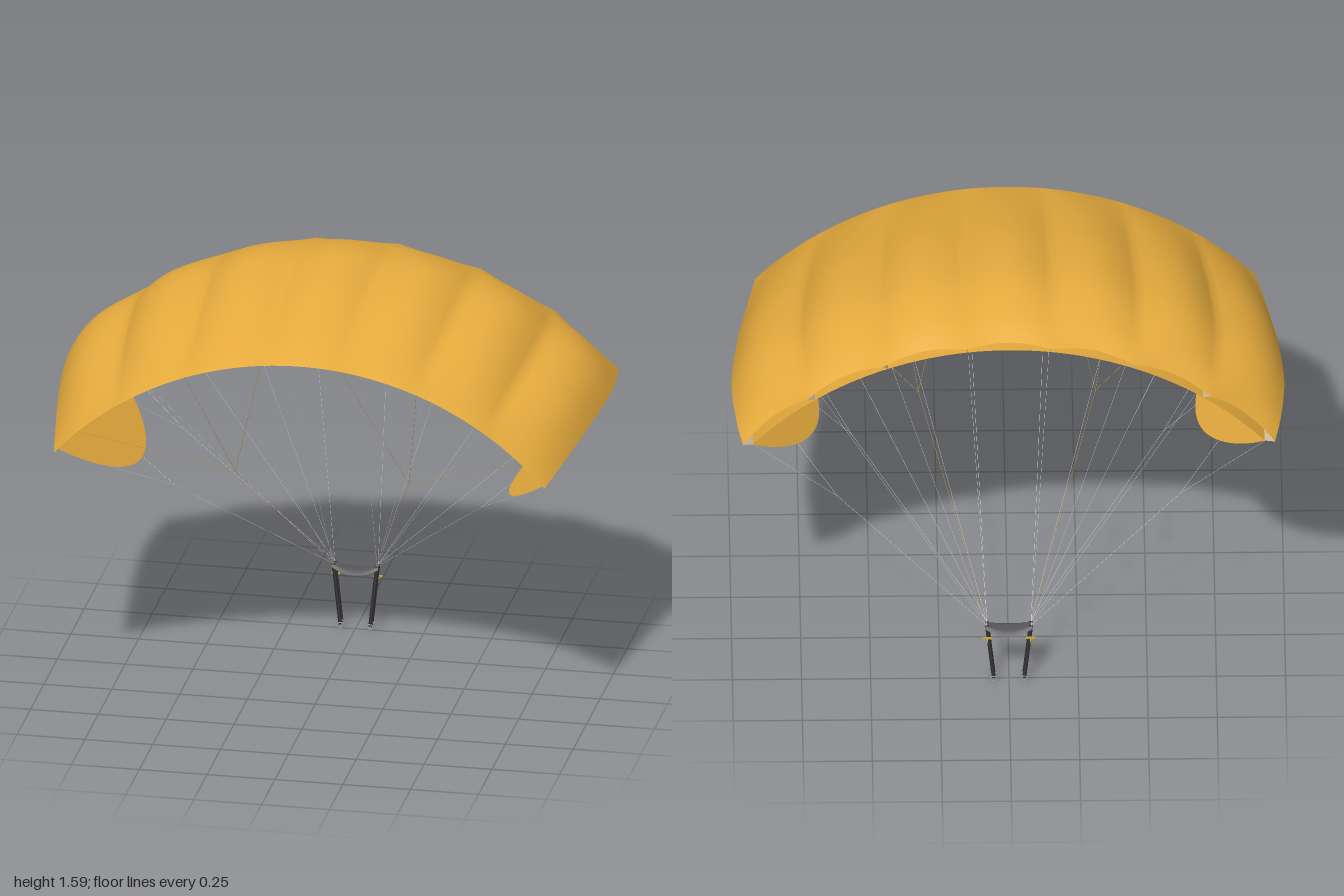
import * as THREE from 'three';
import { ParametricGeometry } from 'three/addons/geometries/ParametricGeometry.js';

const mat = (name, color, side = THREE.FrontSide) => {
  const m = new THREE.MeshStandardMaterial({ color, side });
  m.name = name;
  return m;
};

// The canopy is an arc of seven cells around a centre low on the x = 0 plane
const CENTRE_Y = 0.22;
const CELLS = 7;
const TIP = THREE.MathUtils.degToRad(48.3);
const STEP = (2 * TIP) / CELLS;

// Rib outlines as (z, radius), from trailing edge to nose
const upperRib = new THREE.SplineCurve([
  [0.55, 1.211], [0.3, 1.265], [0.05, 1.312], [-0.2, 1.338], [-0.4, 1.32], [-0.53, 1.288],
].map(([z, r]) => new THREE.Vector2(z, r)));
const lowerRib = new THREE.LineCurve(new THREE.Vector2(0.55, 1.211), new THREE.Vector2(-0.48, 1.239));

const polar = (angle, r, z, target = new THREE.Vector3()) =>
  target.set(r * Math.sin(angle), CENTRE_Y + r * Math.cos(angle), z);
const underRadius = (z) => lowerRib.getPoint((0.55 - z) / 1.03).y;
const under = (angle, z) => polar(angle, underRadius(z), z);

// Depth of the stabilizer panel below the tip rib
const stabilizerDrop = (z) => {
  const u = THREE.MathUtils.clamp((0.5 - z) / 0.98, 0, 1);
  return 0.315 * Math.pow(4 * u * (1 - u), 0.9);
};
const stabilizerEdge = (s, z) => polar(s * TIP, underRadius(z) - stabilizerDrop(z), z);

// Fabric bulge between two ribs, 0 at a rib and 1 in mid cell
const bulge = (u) => Math.abs(Math.sin(Math.PI * u * CELLS));

export function createModel() {
  const model = new THREE.Group();
  const gold = mat('golden fabric', 0xe6ab3d, THREE.DoubleSide);
  const pale = mat('pale rib fabric', 0xdcc69c, THREE.DoubleSide);
  const grey = mat('slider grey', 0x58585a, THREE.DoubleSide);
  const cord = mat('pale line', 0xdcdee6);
  const black = mat('strap black', 0x38383a);
  const steel = mat('steel', 0x9a9a9a);
  const yellow = mat('control yellow', 0xc8a83c);

  const add = (name, geometry, material, parent = model) => {
    const mesh = new THREE.Mesh(geometry, material);
    mesh.name = name;
    parent.add(mesh);
    return mesh;
  };
  const sheet = (name, fn, nu, nv, material) => {
    const g = new ParametricGeometry(fn, nu, nv);
    g.computeVertexNormals();
    return add(name, g, material);
  };
  const rod = (name, a, b, radius, material, parent, sides = 5) => {
    const d = b.clone().sub(a);
    const m = add(name, new THREE.CylinderGeometry(radius, radius, d.length(), sides), material, parent);
    m.position.copy(a).addScaledVector(d, 0.5);
    m.quaternion.setFromUnitVectors(new THREE.Vector3(0, 1, 0), d.normalize());
    return m;
  };

  // Upper skin: bulges between ribs along the chord, scalloped at the nose
  sheet('upperSkin', (u, v, t) => {
    const p = upperRib.getPoint(v), b = bulge(u);
    const chord = THREE.MathUtils.clamp((0.55 - p.x) / 1.08, 0, 1);
    const rise = 0.04 * Math.pow(Math.sin(Math.PI * chord), 0.8);
    polar((2 * u - 1) * TIP, p.y + rise * b,
      p.x + 0.03 * b * THREE.MathUtils.smoothstep(v, 0.6, 1), t);
  }, CELLS * 12, 40, gold);

  // Lower skin: nearly flat along the chord
  sheet('lowerSkin', (u, v, t) => {
    const p = lowerRib.getPoint(v);
    polar((2 * u - 1) * TIP, p.y - 0.008 * bulge(u) * Math.sin(Math.PI * v), p.x, t);
  }, CELLS * 8, 20, gold);

  // Ribs between the cells and at both tips
  for (let i = 0; i <= CELLS; i++) {
    const angle = -TIP + i * STEP;
    sheet(i % CELLS ? 'innerRib' : 'tipRib', (u, v, t) => {
      const p = lowerRib.getPoint(u).lerp(upperRib.getPoint(u), v);
      polar(angle, p.y, p.x, t);
    }, 30, 1, pale);
  }

  const lines = new THREE.Group();
  lines.name = 'suspensionLines';
  model.add(lines);
  const line = (a, b, material = cord) => rod('line', a, b, 0.0006, material, lines);

  for (const s of [-1, 1]) {
    // Stabilizer panel hanging below the tip rib
    sheet('stabilizer', (u, v, t) => {
      const z = 0.5 - 0.98 * u;
      polar(s * TIP, underRadius(z) - stabilizerDrop(z) * v, z, t);
    }, 36, 4, gold);

    // Load lines from the riser tops to each rib
    const frontTop = new THREE.Vector3(s * 0.08, 0.25, -0.52);
    const rearTop = new THREE.Vector3(s * 0.08, 0.25, -0.495);
    for (const k of [0.5, 1.5, 2.5]) {
      line(frontTop, under(s * k * STEP, -0.4));
      line(rearTop, under(s * k * STEP, 0.2));
    }

    // Forked tip lines to the stabilizer edge
    const noseFork = new THREE.Vector3(s * 0.62, 0.765, -0.42);
    line(frontTop, noseFork);
    line(noseFork, under(s * TIP, -0.48));
    line(noseFork, stabilizerEdge(s, -0.28));
    const tailFork = new THREE.Vector3(s * 0.565, 0.72, 0.02);
    line(rearTop, tailFork);
    line(tailFork, stabilizerEdge(s, 0.03));
    line(tailFork, stabilizerEdge(s, 0.3));

    // Steering lines fanning out to the trailing edge
    const brakeFork = new THREE.Vector3(s * 0.32, 0.83, 0.12);
    line(rearTop, brakeFork, yellow);
    for (const k of [0.5, 1.5, 3.1]) line(brakeFork, under(s * k * STEP, 0.53), yellow);

    // Risers with rings and a steering toggle
    const riser = new THREE.Group();
    riser.name = 'riser';
    model.add(riser);
    for (const top of [frontTop, rearTop]) {
      const strap = rod('riserStrap', new THREE.Vector3(s * 0.055, 0.015, top.z), top, 0.007, black, riser, 4);
      strap.scale.z = 0.2;
      const ring = add('riserRing', new THREE.TorusGeometry(0.01, 0.0025, 6, 16), steel, riser);
      ring.position.set(s * 0.055, 0.0125, top.z);
    }
    const toggle = add('toggle', new THREE.TorusGeometry(0.009, 0.0025, 6, 14), yellow, riser);
    toggle.position.set(s * 0.078, 0.193, -0.532);
    toggle.rotation.y = Math.PI / 2;
    const handle = add('toggleBar', new THREE.BoxGeometry(0.032, 0.007, 0.006), yellow, riser);
    handle.position.set(s * 0.078, 0.2, -0.528);
  }

  // Slider: small sagging cloth between the riser tops
  sheet('slider', (u, v, t) => {
    const a = 2 * u - 1, b = 2 * v - 1;
    const half = 0.02 + 0.02 * (1 - a * a);
    t.set(0.085 * a, 0.22 + 0.018 * a * a + 0.013 * (1 - b ** 4), -0.508 + half * b);
  }, 16, 8, grey);

  return model;
}
